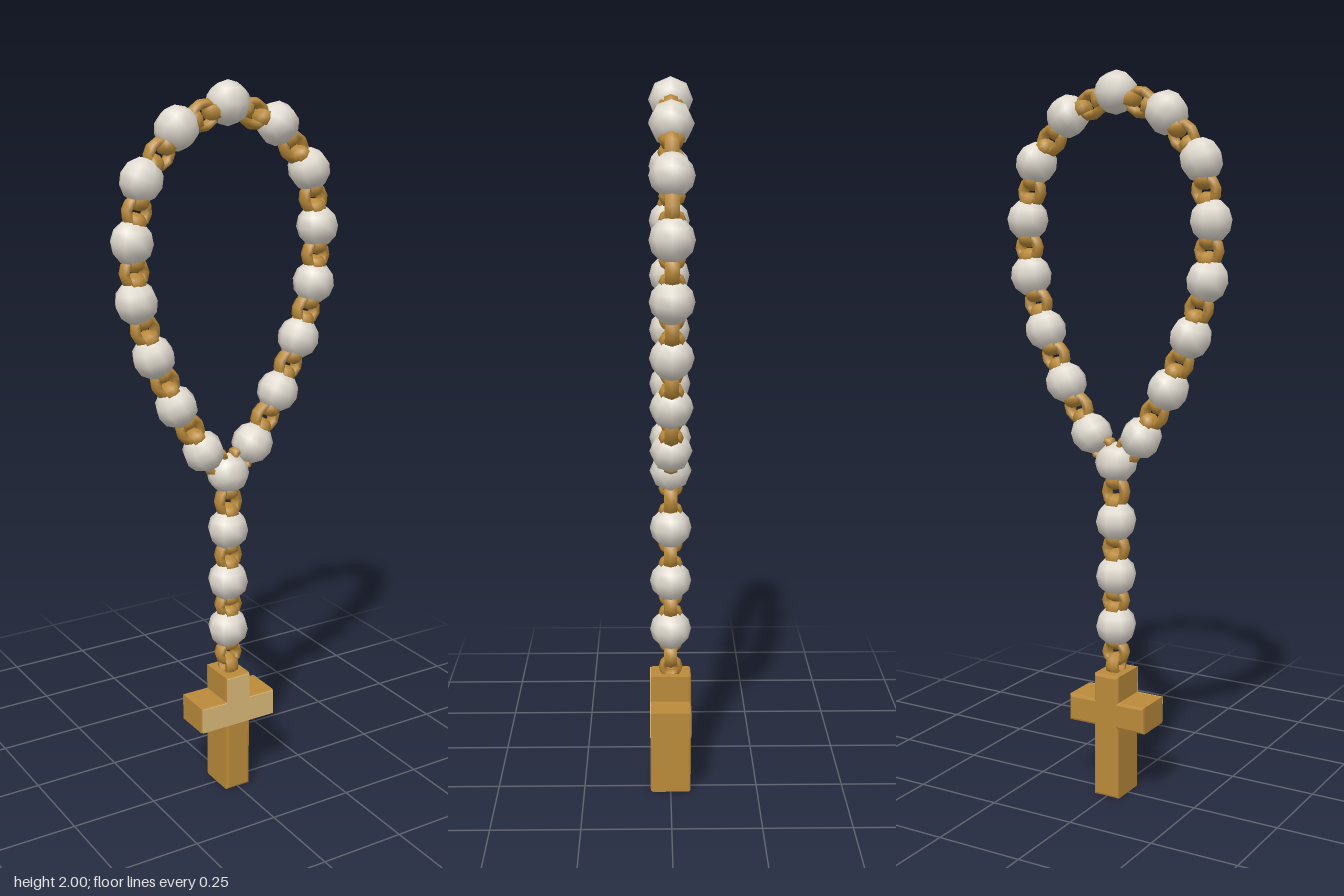
import * as THREE from 'three';

const material = (name, color) => {
  const m = new THREE.MeshStandardMaterial({ color });
  m.name = name;
  return m;
};
const ivory = material('ivory', 0xe0dacf);
const gold = material('gold', 0xba8a3a);
const paleGold = material('paleGold', 0xd8b878);

const R = 0.058;
const beadGeo = new THREE.SphereGeometry(R, 8, 6);
// Unit link: outer radius 0.04, elongated along y by scaling
const linkGeo = new THREE.TorusGeometry(0.027, 0.013, 6, 10);

// Points of an upright stub with two arms, running down to the given bottom
const crossPoints = (bottom, inset) => {
  const w = 0.039 - inset, arm = 0.12 - inset;
  const top = 0.358 - inset, low = 0.206 + inset, high = 0.283 - inset;
  const right = [[w, bottom + inset], [w, low], [arm, low], [arm, high], [w, high], [w, top]];
  const left = right.map(([x, y]) => [-x, y]).reverse();
  return [...right, ...left].map(([x, y]) => new THREE.Vector2(x, y));
};

export function createModel() {
  const model = new THREE.Group();
  model.name = 'prayerBeads';

  const add = (geo, mat, name, x, y, angle = 0) => {
    const mesh = new THREE.Mesh(geo, mat);
    mesh.name = name;
    mesh.position.set(x, y, 0);
    mesh.rotation.z = angle;
    model.add(mesh);
  };

  // One link; "turned" links lie edge-on to the front
  const addLink = (x, y, angle, halfLength, turned) => {
    const group = new THREE.Group();
    group.name = turned ? 'turnedLink' : 'flatLink';
    group.position.set(x, y, 0);
    group.rotation.z = angle;
    const link = new THREE.Mesh(linkGeo, gold);
    link.name = 'link';
    link.scale.set(turned ? 0.85 : 1.05, halfLength / 0.04, 1.6);
    if (turned) link.rotation.y = Math.PI / 2;
    group.add(link);
    model.add(group);
  };

  // Chain between two bead centres: one flat link held by two turned ones
  const addChain = (a, b) => {
    const dx = b[0] - a[0], dy = b[1] - a[1], d = Math.hypot(dx, dy);
    const angle = Math.atan2(-dx, dy);
    addLink((a[0] + b[0]) / 2, (a[1] + b[1]) / 2, angle, Math.max(d / 2 - R + 0.027, 0.025), false);
    if (d < 0.13) return;
    for (const t of [0.05 / d, 1 - 0.05 / d]) {
      addLink(a[0] + dx * t, a[1] + dy * t, angle, 0.027, true);
    }
  };

  // Loop of beads, mirrored left to right
  const half = [[0.15, 1.885], [0.252, 1.763], [0.282, 1.61], [0.273, 1.457],
    [0.226, 1.308], [0.16, 1.165], [0.078, 1.028]];
  const loop = [[0, 1.942], ...half, [0, 0.953],
    ...half.map(([x, y]) => [-x, y]).reverse()];
  loop.forEach((p, i) => {
    const next = loop[(i + 1) % loop.length];
    const prev = loop[(i + loop.length - 1) % loop.length];
    const angle = Math.atan2(-(next[0] - prev[0]), next[1] - prev[1]);
    add(beadGeo, ivory, 'loopBead', p[0], p[1], angle);
    addChain(p, next);
  });

  // Hanging strand
  const strand = [[0, 0.953], [0, 0.789], [0, 0.634], [0, 0.489]];
  for (let i = 1; i < strand.length; i++) {
    add(beadGeo, ivory, 'strandBead', strand[i][0], strand[i][1]);
    addChain(strand[i - 1], strand[i]);
  }
  addLink(0, 0.445, 0, 0.027, true);
  addLink(0, 0.412, 0, 0.04, false);
  addLink(0, 0.375, 0, 0.036, true);

  // Cross with bevelled edges
  const bevel = 0.007, depth = 0.116 - 2 * bevel;
  const crossGeo = new THREE.ExtrudeGeometry(new THREE.Shape(crossPoints(0, bevel)), {
    depth, bevelEnabled: true, bevelSize: bevel, bevelThickness: bevel, bevelSegments: 2,
  });
  crossGeo.translate(0, 0, -depth / 2);
  add(crossGeo, gold, 'cross', 0, 0);

  // Pale front facing over the arms and the upper stub
  const facingGeo = new THREE.ExtrudeGeometry(new THREE.Shape(crossPoints(0.206, 0.002)), {
    depth: 0.005, bevelEnabled: false,
  });
  facingGeo.translate(0, 0, 0.054);
  add(facingGeo, paleGold, 'crossFacing', 0, 0);

  return model;
}
